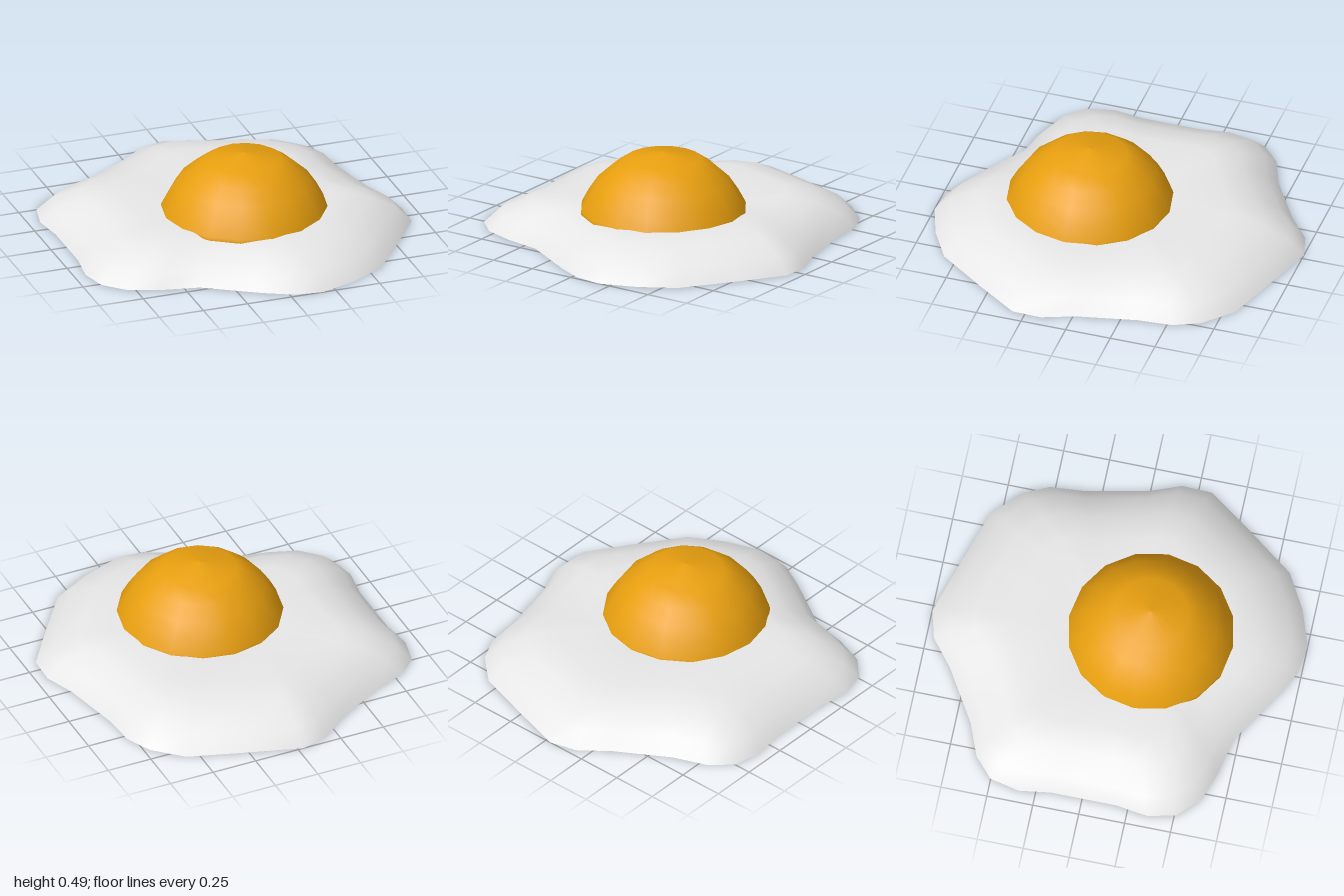
import * as THREE from 'three';

const whiteMat = new THREE.MeshStandardMaterial({ name: 'eggWhite', color: 0xf2f2f2 });
const yolkMat = new THREE.MeshStandardMaterial({ name: 'yolkOrange', color: 0xf0a510 });

// Wavy outline of the egg white as [x, z], clockwise seen from above
const outline = [
  [-0.03, -1.0], [0.26, -0.91], [0.57, -0.81], [0.72, -0.67], [0.785, -0.53], [0.8, -0.34],
  [0.87, -0.01], [0.935, 0.16], [0.93, 0.32], [0.77, 0.55], [0.57, 0.82], [0.38, 0.93],
  [0.18, 1.0], [0.025, 0.98], [-0.13, 0.9], [-0.42, 0.72], [-0.62, 0.68], [-0.79, 0.62],
  [-0.9, 0.51], [-0.935, 0.36], [-0.91, 0.18], [-0.91, -0.17], [-0.935, -0.34], [-0.9, -0.5],
  [-0.79, -0.6], [-0.61, -0.67], [-0.33, -0.84], [-0.18, -0.96],
];

// Rounded rim as [scale of outline, height at the lobes]
const rings = [[1, 0], [0.92, 0.08], [0.77, 0.145], [0.6, 0.178], [0.3, 0.165], [0, 0.16]];

function makeGeometry(positions, index) {
  const g = new THREE.BufferGeometry();
  g.setAttribute('position', new THREE.Float32BufferAttribute(positions, 3));
  g.setIndex(index);
  g.computeVertexNormals();
  return g;
}

// Upper skin: shrinking copies of the outline, slightly lower between the lobes
function whiteTop() {
  const n = outline.length, positions = [], index = [];
  rings.forEach(([s, h], r) => {
    outline.forEach(([x, z]) => {
      const lobe = THREE.MathUtils.smoothstep(Math.hypot(x, z), 0.8, 0.95);
      const dip = r === 2 || r === 3 ? 0.9 + 0.1 * lobe : 1;
      positions.push(x * s, h * dip, z * s);
    });
  });
  for (let r = 0; r < rings.length - 1; r++) {
    for (let i = 0; i < n; i++) {
      const j = (i + 1) % n, a = r * n + i, b = r * n + j;
      index.push(a, a + n, b);
      if (r < rings.length - 2) index.push(b, a + n, b + n);
    }
  }
  // The last ring collapses to one shared centre point
  const centre = (rings.length - 1) * n;
  return makeGeometry(positions, index.map((k) => Math.min(k, centre)));
}

// Flat underside
function whiteBottom() {
  const n = outline.length, positions = [0, 0, 0], index = [];
  outline.forEach(([x, z], i) => {
    positions.push(x, 0, z);
    index.push(0, i + 1, ((i + 1) % n) + 1);
  });
  return makeGeometry(positions, index);
}

export function createModel() {
  const model = new THREE.Group();
  model.name = 'friedEgg';
  const add = (name, geometry, material) => {
    const mesh = new THREE.Mesh(geometry, material);
    mesh.name = name;
    model.add(mesh);
    return mesh;
  };

  add('eggWhiteTop', whiteTop(), whiteMat);
  add('eggWhiteUnderside', whiteBottom(), whiteMat);

  // Domed yolk, off-centre towards the front
  const profile = [[0.447, 0.155], [0.445, 0.175], [0.405, 0.25], [0.355, 0.325], [0.28, 0.393], [0.2, 0.448], [0, 0.485]];
  const yolk = add('yolk', new THREE.LatheGeometry(profile.map(([r, y]) => new THREE.Vector2(r, y)), 16), yolkMat);
  yolk.position.set(0.033, 0, 0.178);

  return model;
}
